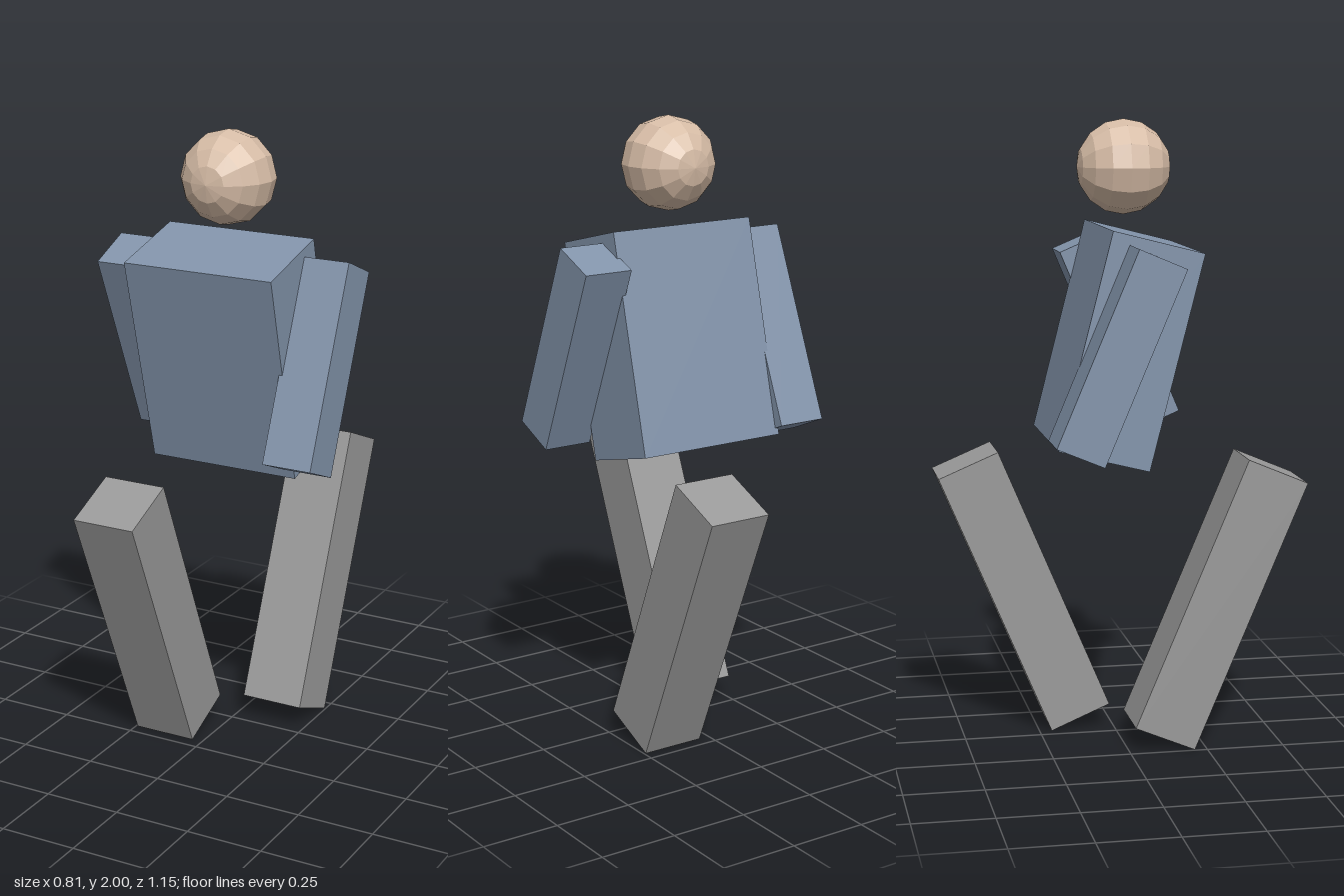
import * as THREE from 'three';

const paint = (name, color) => {
  const m = new THREE.MeshStandardMaterial({ color, flatShading: true });
  m.name = name;
  return m;
};

export function createModel() {
  const group = new THREE.Group();
  group.name = 'walkingFigure';
  const cloth = paint('dusty blue', 0x8293aa);
  const trousers = paint('grey', 0x999999);
  const skin = paint('skin', 0xd6bca6);

  const addBox = (name, size, position, tilt, material) => {
    const mesh = new THREE.Mesh(new THREE.BoxGeometry(...size), material);
    mesh.name = name;
    mesh.position.set(...position);
    mesh.rotation.x = tilt;
    group.add(mesh);
  };

  // Torso leaning forward
  addBox('torso', [0.512, 0.70, 0.298], [0, 1.291, 0], 0.25, cloth);

  // Arms and legs swing in opposite directions on each side
  for (const [side, s] of [['left', 1], ['right', -1]]) {
    addBox(side + 'Arm', [0.163, 0.651, 0.161], [s * 0.326, 1.292, s * 0.059], -s * 0.4, cloth);
    addBox(side + 'Leg', [0.209, 0.931, 0.209], [s * 0.14, 0.47, -s * 0.295], -s * 0.4, trousers);
  }

  // Faceted head, pole facing the front
  const headGeometry = new THREE.SphereGeometry(0.15, 12, 8);
  headGeometry.rotateX(Math.PI / 2);
  const head = new THREE.Mesh(headGeometry, skin);
  head.name = 'head';
  head.position.set(0, 1.85, 0.022);
  group.add(head);

  return group;
}
